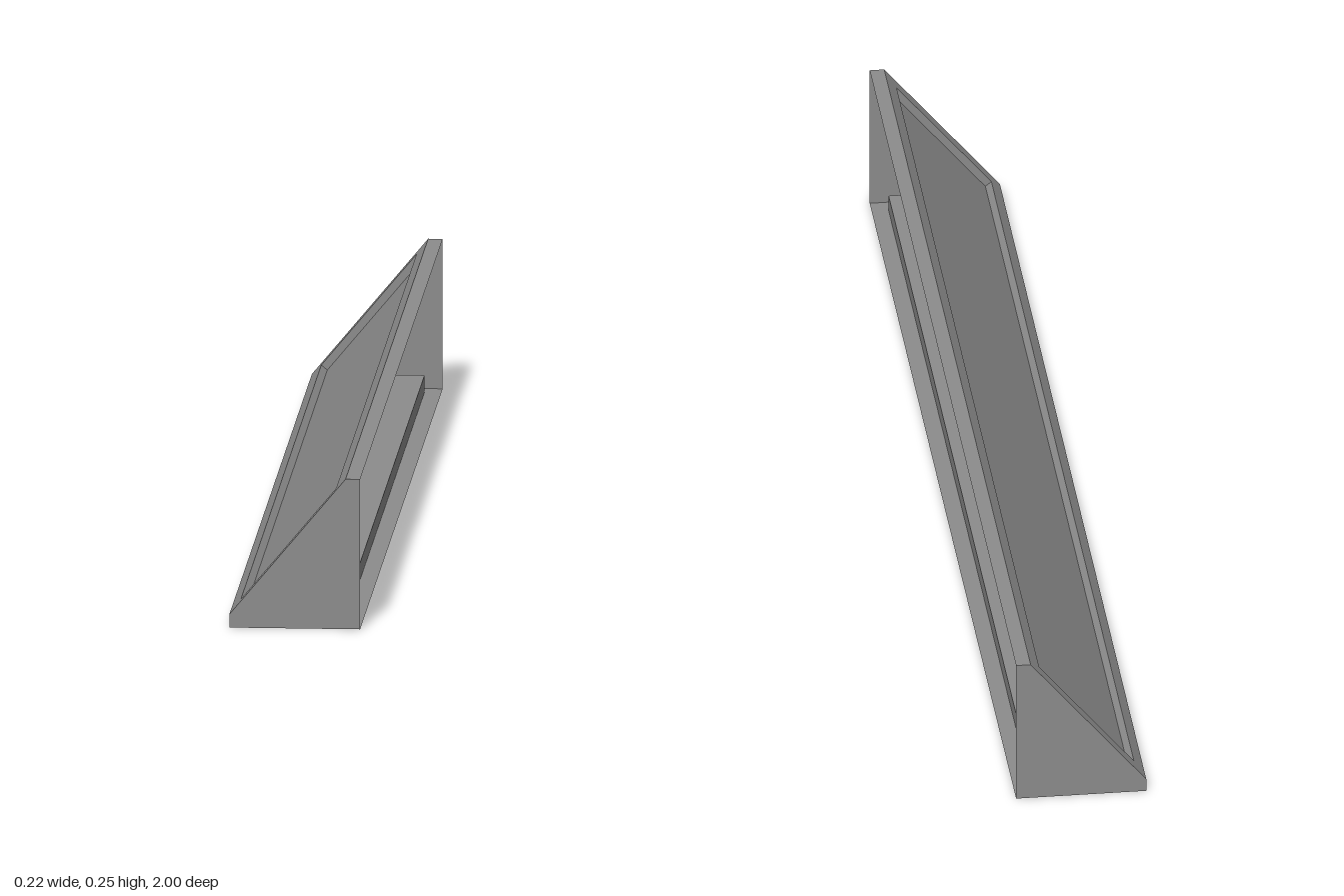
import * as THREE from 'three';

const LENGTH = 2;
// Cross-section, clockwise from the open side; the side from the last point to the first stays open
const PROFILE = [[0.108, 0], [-0.108, 0], [-0.108, 0.022], [0.084, 0.252], [0.108, 0.252]];

export function createModel() {
  const model = new THREE.Group();
  const grey = new THREE.MeshStandardMaterial({ color: 0x8c8c8c, side: THREE.DoubleSide });
  grey.name = 'grey';

  const addMesh = (parent, name, geometry) => {
    const mesh = new THREE.Mesh(geometry, grey);
    mesh.name = name;
    parent.add(mesh);
    return mesh;
  };

  // Group lying on one profile side: local x runs along the length, y along the side, z outward
  const sideGroup = (name, i) => {
    const a = new THREE.Vector3(...PROFILE[i], 0);
    const b = new THREE.Vector3(...PROFILE[i + 1], 0);
    const along = new THREE.Vector3(0, 0, 1);
    const up = b.clone().sub(a).normalize();
    const group = new THREE.Group();
    group.name = name;
    group.applyMatrix4(new THREE.Matrix4().makeBasis(along, up, along.clone().cross(up)));
    group.position.copy(a).add(b).multiplyScalar(0.5);
    model.add(group);
    return { group, width: a.distanceTo(b) };
  };

  // Plain strip
  const strip = (name, i) => {
    const { group, width } = sideGroup(name, i);
    addMesh(group, name + 'Face', new THREE.PlaneGeometry(LENGTH, width));
  };

  // Flat frame around a sunken panel
  const recessedSide = (name, i, inset, depth) => {
    const { group, width } = sideGroup(name, i);
    const rect = (T, w, h) => new T([[-1, -1], [1, -1], [1, 1], [-1, 1]]
      .map(([x, y]) => new THREE.Vector2(x * w / 2, y * h / 2)));
    const w = LENGTH - 2 * inset, h = width - 2 * inset;
    const frame = rect(THREE.Shape, LENGTH, width);
    frame.holes.push(rect(THREE.Path, w, h));
    addMesh(group, name + 'Frame', new THREE.ShapeGeometry(frame));
    addMesh(group, name + 'Panel', new THREE.PlaneGeometry(w, h)).position.z = -depth;
    for (const s of [-1, 1]) {
      const longWall = addMesh(group, name + 'LongWall', new THREE.PlaneGeometry(w, depth));
      longWall.rotation.x = s * Math.PI / 2;
      longWall.position.set(0, s * h / 2, -depth / 2);
      const shortWall = addMesh(group, name + 'ShortWall', new THREE.PlaneGeometry(depth, h));
      shortWall.rotation.y = -s * Math.PI / 2;
      shortWall.position.set(s * w / 2, 0, -depth / 2);
    }
  };

  recessedSide('base', 0, 0.028, 0.028);
  strip('lowerLip', 1);
  recessedSide('slope', 2, 0.027, 0.013);
  strip('topLip', 3);

  // End caps
  const cap = new THREE.Shape(PROFILE.map(([x, y]) => new THREE.Vector2(x, y)));
  addMesh(model, 'frontEnd', new THREE.ShapeGeometry(cap)).position.z = LENGTH / 2;
  const backGeometry = new THREE.ShapeGeometry(cap).scale(-1, 1, 1).rotateY(Math.PI);
  backGeometry.setIndex([...backGeometry.index.array].reverse());
  backGeometry.computeVertexNormals();
  addMesh(model, 'backEnd', backGeometry).position.z = -LENGTH / 2;

  return model;
}
